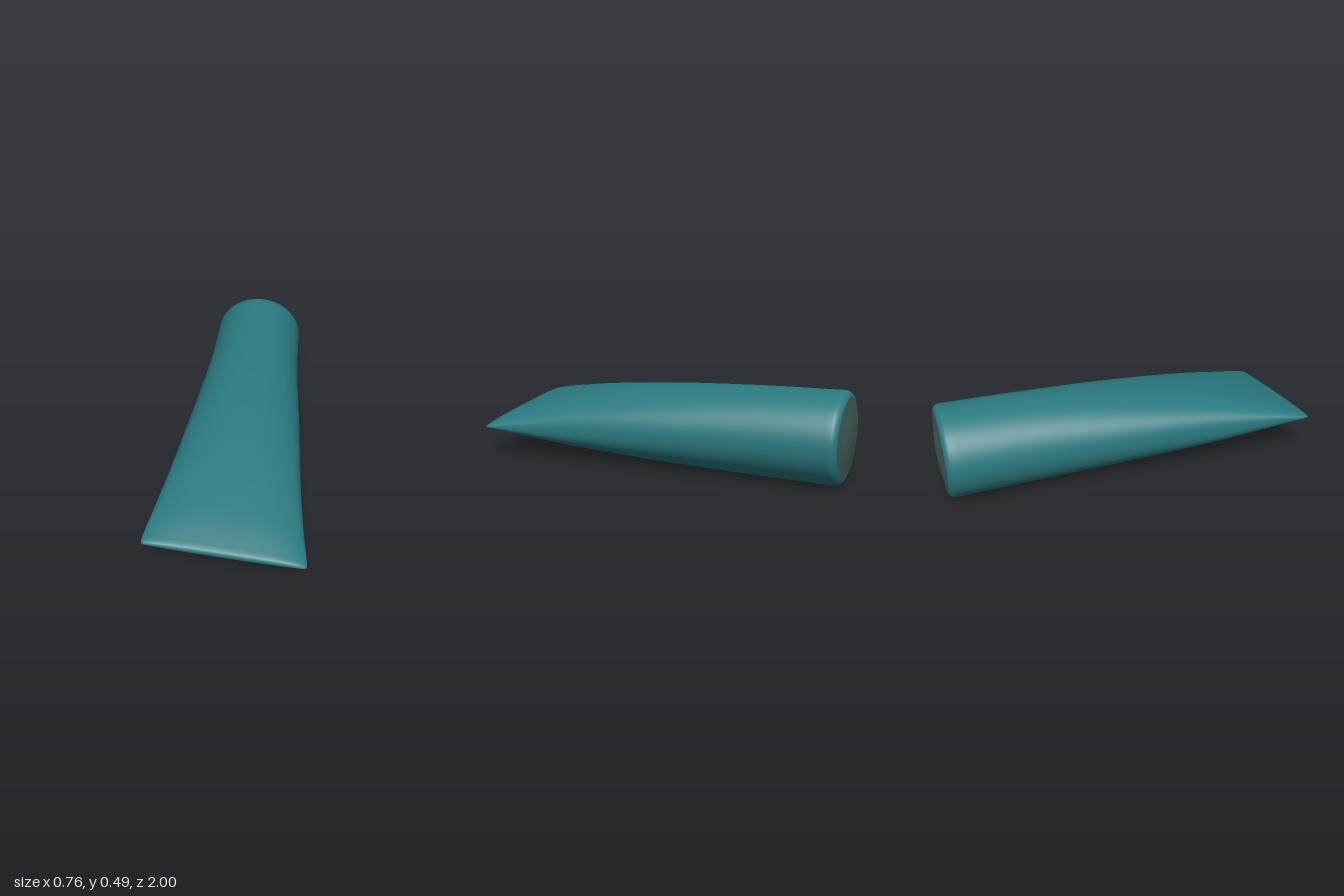
import * as THREE from 'three';

// Cross-sections from back to front:
// z, centre x, centre y, half width, half height, sideways tilt, squareness (2 = ellipse)
const BODY = [
  [-0.94, -0.02, 0.251, 0.26, 0.243, 0, 2],
  [-0.5, -0.0125, 0.244, 0.268, 0.233, -0.02, 2.05],
  [0, -0.006, 0.235, 0.299, 0.204, -0.05, 2.2],
  [0.5, -0.005, 0.226, 0.332, 0.143, -0.08, 2.6],
  [0.8, -0.004, 0.222, 0.361, 0.08, -0.1, 2.8],
  [0.9, -0.003, 0.221, 0.373, 0.052, -0.103, 2.8],
  [0.97, -0.002, 0.219, 0.381, 0.029, -0.105, 2.6],
];
const SIDES = 96;

// Smooth interpolation through the sections at depth z
function sectionAt(z) {
  let i = 0;
  while (i < BODY.length - 2 && z > BODY[i + 1][0]) i++;
  const a = BODY[i], b = BODY[i + 1], d = b[0] - a[0], t = (z - a[0]) / d;
  const slope = (k, c) => {
    const p = BODY[Math.max(k - 1, 0)], q = BODY[Math.min(k + 1, BODY.length - 1)];
    return (q[c] - p[c]) / (q[0] - p[0]);
  };
  return a.map((v, c) => c === 0 ? z :
    v * (2 * t ** 3 - 3 * t * t + 1) + b[c] * (3 * t * t - 2 * t ** 3) +
    d * (slope(i, c) * (t ** 3 - 2 * t * t + t) + slope(i + 1, c) * (t ** 3 - t * t)));
}

// Skin a list of sections; optionally close the front end
function loft(sections, closeFront) {
  const pos = [], index = [];
  for (const [z, cx, cy, w, h, tilt, n] of sections) {
    for (let j = 0; j < SIDES; j++) {
      const t = (j / SIDES) * Math.PI * 2, c = Math.cos(t), s = Math.sin(t);
      const x = w * Math.sign(c) * Math.abs(c) ** (2 / n);
      const y = h * Math.sign(s) * Math.abs(s) ** (2 / n);
      pos.push(cx + x, cy + y + tilt * x, z);
    }
  }
  for (let i = 0; i < sections.length - 1; i++) {
    for (let j = 0; j < SIDES; j++) {
      const a = i * SIDES + j, b = i * SIDES + (j + 1) % SIDES;
      index.push(a, b, a + SIDES, b, b + SIDES, a + SIDES);
    }
  }
  if (closeFront) {
    const [z, cx, cy] = sections.at(-1), start = (sections.length - 1) * SIDES;
    pos.push(cx, cy, z);
    for (let j = 0; j < SIDES; j++) {
      index.push(pos.length / 3 - 1, start + j, start + (j + 1) % SIDES);
    }
  }
  const geo = new THREE.BufferGeometry();
  geo.setAttribute('position', new THREE.Float32BufferAttribute(pos, 3));
  geo.setIndex(index);
  geo.computeVertexNormals();
  return geo;
}

export function createModel() {
  const model = new THREE.Group();
  model.name = 'squeezedTube';
  const add = (name, geo, color) => {
    const mesh = new THREE.Mesh(geo, new THREE.MeshStandardMaterial({ color }));
    mesh.name = name;
    model.add(mesh);
  };
  const disc = (z, r) => [z, -0.02, 0.251, 0.26 * r, 0.243 * r, 0, 2];

  // Round body flattening into a wide, slightly twisted edge
  const sections = [disc(-0.979, 0.88), disc(-0.974, 0.93), disc(-0.965, 0.97), disc(-0.953, 0.992)];
  for (let i = 0; i <= 60; i++) sections.push(sectionAt(-0.94 + (1.91 * i) / 60));
  sections.push([0.985, -0.001, 0.219, 0.38, 0.024, -0.105, 2.5]);
  sections.push([0.995, -0.001, 0.219, 0.378, 0.017, -0.105, 2.4]);
  sections.push([1, -0.001, 0.219, 0.374, 0.008, -0.105, 2.4]);
  add('body', loft(sections, true), 0x2b7a80);

  // Slightly domed round end
  const cap = [[-1, 0.001], [-0.998, 0.2], [-0.993, 0.4], [-0.987, 0.58], [-0.982, 0.74], [-0.979, 0.88]];
  add('endCap', loft(cap.map(([z, r]) => disc(z, r)), false), 0x44625e);
  return model;
}
